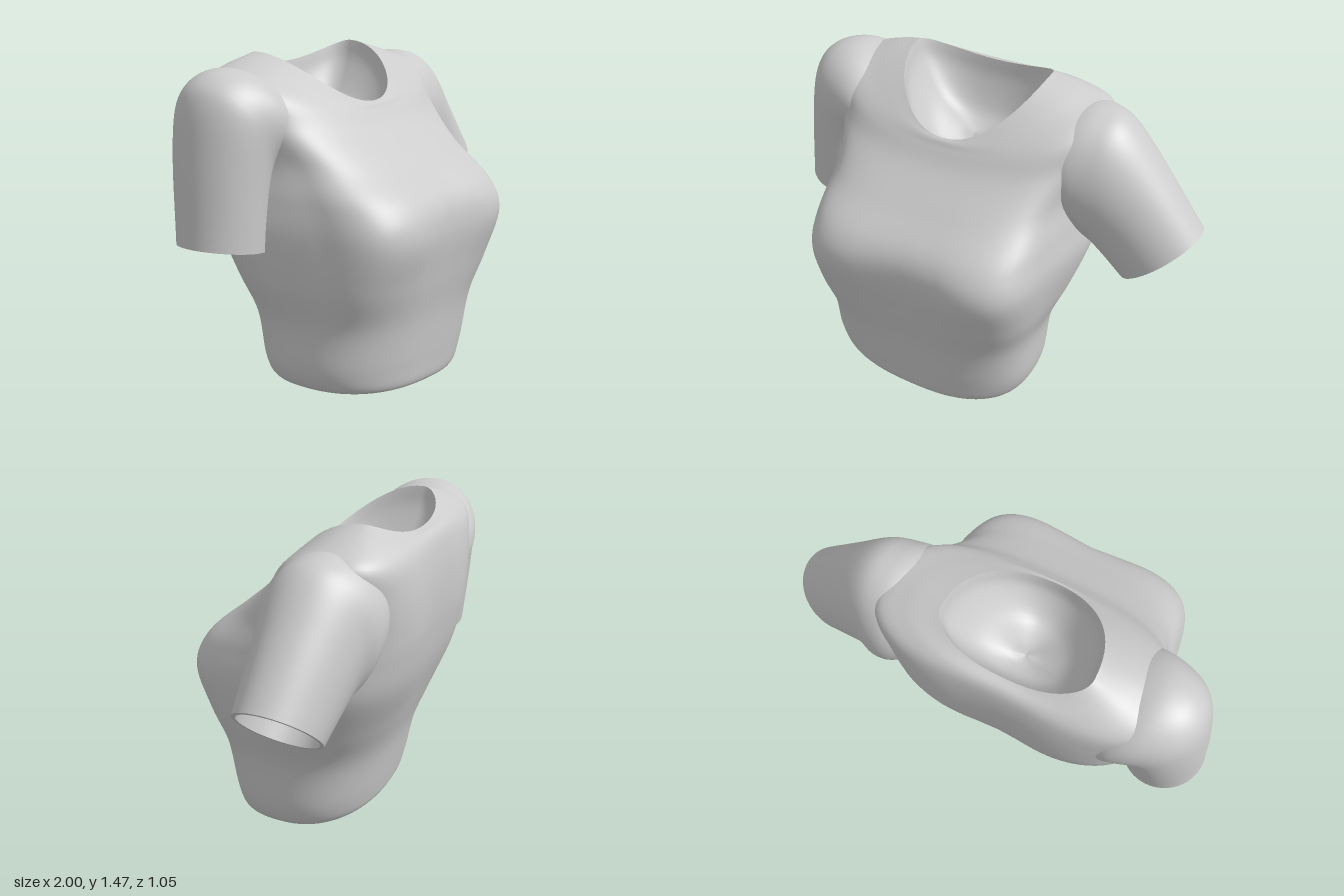
import * as THREE from 'three';

const material = new THREE.MeshStandardMaterial({ color: 0xcccccc, side: THREE.DoubleSide });
const SEGMENTS = 80;

// Skin a list of key rings (same point count), smoothed lengthwise by splines
function loft(name, keys, steps) {
  const n = keys[0].length;
  const pos = [], index = [];
  const curves = keys[0].map((_, j) => new THREE.CatmullRomCurve3(keys.map(k => k[j]), false, 'catmullrom', 0.5));
  for (let i = 0; i <= steps; i++) {
    for (let j = 0; j < n; j++) {
      const p = curves[j].getPoint(i / steps);
      pos.push(p.x, p.y, p.z);
      if (i < steps) {
        const a = i * n + j, b = i * n + (j + 1) % n;
        index.push(a, a + n, b, b, a + n, b + n);
      }
    }
  }
  const geo = new THREE.BufferGeometry();
  geo.setAttribute('position', new THREE.Float32BufferAttribute(pos, 3));
  geo.setIndex(index);
  geo.computeVertexNormals();
  const mesh = new THREE.Mesh(geo, material);
  mesh.name = name;
  return mesh;
}

const angles = Array.from({ length: SEGMENTS }, (_, j) => (j / SEGMENTS) * Math.PI * 2);
const bump = (v, centre, width) => Math.exp(-(((v - centre) / width) ** 2));

// Torso ring: superellipse with its own front/back depth, height and squareness
function torsoRing([xl, xr, zb, zf, zs, yb, ys, yf, powerBack, powerFront, taper]) {
  const cx = (xl + xr) / 2, hw = (xr - xl) / 2;
  return angles.map(a => {
    const c = Math.cos(a), s = Math.sin(a);
    const e = 2 / (s > 0 ? powerFront : powerBack);
    const depth = Math.abs(s) ** e;
    // the chest is narrower than the back
    const narrow = s > 0 ? 1 - taper * Math.min(1, 2 * depth) : 1;
    const x = cx + hw * narrow * Math.sign(c) * Math.abs(c) ** e;
    let y = ys + ((s > 0 ? yf : yb) - ys) * Math.abs(s) ** 1.8;
    let z = zs + (s > 0 ? zf - zs : zb - zs) * depth;
    // dip between the chest halves and along the spine
    const dip = bump(x, -0.12, 0.2) * depth;
    z += s > 0 ? -0.035 * dip * bump(y, 0.74, 0.2) : 0.035 * dip * bump(y, 0.95, 0.35);
    // hem hangs a little higher on the right
    y -= 0.075 * (x - 0.25) * Math.max(0, 1 - y / 0.4);
    return new THREE.Vector3(x, y, z);
  });
}

// Sleeve ring: ellipse through an upper and a lower point, with a range in z
function sleeveRing([xt, yt, xb, yb, z0, z1], side) {
  return angles.map(a => {
    const c = Math.cos(a), s = -side * Math.sin(a);
    return new THREE.Vector3(
      (xt + xb) / 2 + c * (xt - xb) / 2,
      (yt + yb) / 2 + c * (yt - yb) / 2,
      (z0 + z1) / 2 + s * (z1 - z0) / 2);
  });
}

const centreOf = ring => ring.reduce((sum, p) => sum.add(p), new THREE.Vector3()).divideScalar(ring.length);

// Ring shrunk towards a centre and then shifted
const inset = (ring, centre, amount, shift) => ring.map(p => p.clone().lerp(centre, amount).add(shift));

// Sleeve with a turned-in cuff, closed a short way inside
function sleeve(name, rows, side) {
  const group = new THREE.Group();
  group.name = name;
  const rings = rows.map(r => sleeveRing(r, side));
  const cuff = rings[rings.length - 1], before = rings[rings.length - 2];
  const centre = centreOf(cuff), inward = centreOf(before).sub(centre).multiplyScalar(0.8);
  const rim = inset(cuff, centre, 0.09, new THREE.Vector3());
  const lining = inset(cuff, centre, 0.12, inward);
  group.add(
    loft('sleeveFabric', rings, 40),
    loft('cuffEdge', [cuff, rim], 1),
    loft('cuffLining', [rim, lining], 3),
    loft('sleeveInside', [lining, inset(cuff, centre, 1, inward)], 2));
  return group;
}

export function createModel() {
  const model = new THREE.Group();
  model.name = 'shirt';

  // left, right, back, front, widest z, heights at back/side/front, squareness back/front, chest taper
  const torso = [
    [-0.56, 0.24, -0.2, 0.35, 0.08, 0.04, 0.02, 0.01, 2.2, 2.3, 0],
    [-0.63, 0.31, -0.26, 0.41, 0.08, 0.03, 0.015, 0.005, 2.3, 2.5, 0],
    [-0.67, 0.36, -0.285, 0.43, 0.08, 0.12, 0.12, 0.12, 2.4, 2.6, 0],
    [-0.67, 0.38, -0.33, 0.455, 0.06, 0.35, 0.35, 0.35, 2.5, 3.1, 0.01],
    [-0.72, 0.45, -0.4, 0.5, 0, 0.54, 0.54, 0.54, 2.6, 4, 0.05],
    [-0.75, 0.51, -0.485, 0.545, -0.08, 0.75, 0.75, 0.74, 2.7, 4.8, 0.1],
    [-0.74, 0.5, -0.525, 0.5, -0.14, 0.92, 0.9, 0.88, 2.7, 4.3, 0.1],
    [-0.72, 0.48, -0.535, 0.35, -0.18, 1.05, 1.05, 1.01, 2.9, 3.5, 0.08],
    [-0.74, 0.5, -0.525, 0.2, -0.2, 1.2, 1.22, 1.14, 3.1, 2.8, 0.03],
    [-0.74, 0.51, -0.5, 0.135, -0.23, 1.32, 1.37, 1.22, 3.2, 2.4, 0],
    [-0.61, 0.38, -0.47, 0.115, -0.27, 1.38, 1.435, 1.25, 2.6, 2.2, 0],
    [-0.46, 0.22, -0.42, 0.1, -0.28, 1.4, 1.48, 1.26, 2.1, 2.1, 0],
  ].map(torsoRing);
  model.add(loft('torso', torso, 77));

  // Closed underside, set slightly inside the hem
  const hem = torso[0], middle = centreOf(hem);
  middle.y += 0.03;
  model.add(loft('underside', [hem.map(() => middle.clone()), hem], 4));

  // Hollow bowl inside the neckline
  const neck = torso[torso.length - 1], neckCentre = centreOf(neck);
  const bowl = [[0, 0], [0.1, -0.1], [0.4, -0.23], [0.75, -0.28], [1, -0.28]];
  model.add(loft('neckInside', bowl.map(([k, drop]) => inset(neck, neckCentre, k, new THREE.Vector3(0, drop, 0))), 20));

  // upper x, y, lower x, y, back z, front z
  model.add(sleeve('leftSleeve', [
    [0.28, 1.34, 0.34, 0.95, -0.44, 0.02],
    [0.4, 1.405, 0.42, 0.86, -0.48, 0.05],
    [0.51, 1.415, 0.48, 0.79, -0.475, 0.045],
    [0.63, 1.37, 0.53, 0.75, -0.44, 0.03],
    [0.8, 1.18, 0.58, 0.7, -0.41, 0.01],
    [1, 0.93, 0.66, 0.63, -0.375, 0],
  ], 1));
  model.add(sleeve('rightSleeve', [
    [-0.5, 1.34, -0.5, 0.95, -0.44, 0.02],
    [-0.62, 1.41, -0.56, 0.94, -0.48, 0.05],
    [-0.74, 1.44, -0.58, 0.95, -0.475, 0.045],
    [-0.86, 1.405, -0.6, 0.95, -0.45, 0.03],
    [-0.93, 1.31, -0.61, 0.92, -0.43, 0.02],
    [-0.97, 1.08, -0.62, 0.84, -0.41, 0.01],
    [-1, 0.73, -0.63, 0.67, -0.375, 0],
  ], -1));

  return model;
}
